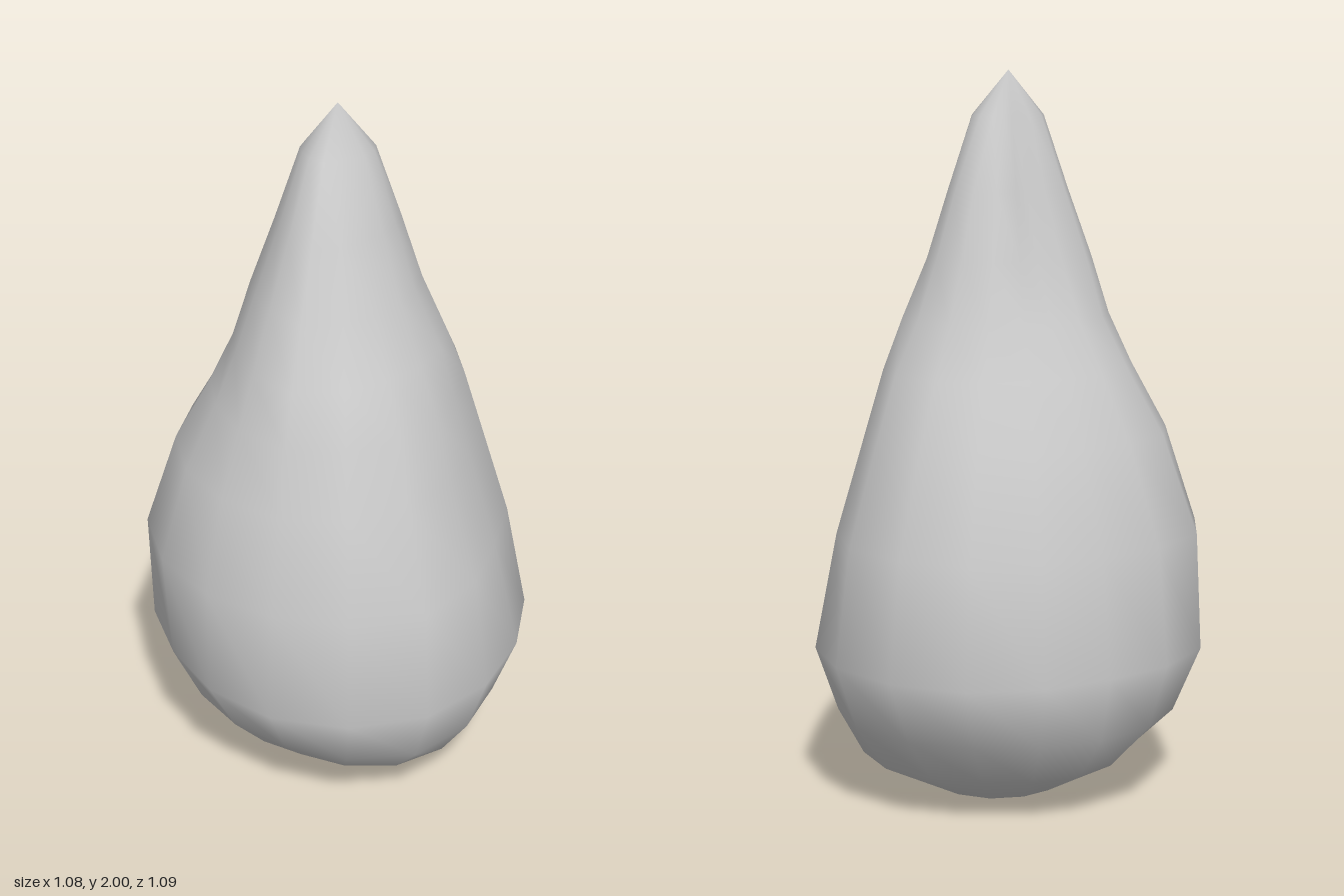
import * as THREE from 'three';

// Height, then radii every 45 degrees: +x, +x+z, +z, -x+z, -x, -x-z, -z, +x-z
const RINGS = [
  [0.04, 0.23, 0.21, 0.15, 0.20, 0.15, 0.20, 0.24, 0.24],
  [0.12, 0.41, 0.38, 0.31, 0.33, 0.33, 0.35, 0.34, 0.40],
  [0.25, 0.47, 0.50, 0.44, 0.43, 0.465, 0.45, 0.45, 0.49],
  [0.43, 0.535, 0.565, 0.545, 0.51, 0.54, 0.49, 0.54, 0.55],
  [0.75, 0.46, 0.54, 0.52, 0.53, 0.525, 0.45, 0.49, 0.505],
  [1.02, 0.38, 0.43, 0.455, 0.45, 0.43, 0.36, 0.395, 0.42],
  [1.20, 0.33, 0.38, 0.405, 0.36, 0.33, 0.28, 0.31, 0.36],
  [1.34, 0.29, 0.30, 0.35, 0.30, 0.26, 0.21, 0.255, 0.29],
  [1.50, 0.215, 0.23, 0.28, 0.24, 0.215, 0.14, 0.20, 0.23],
  [1.68, 0.16, 0.16, 0.20, 0.17, 0.155, 0.09, 0.15, 0.17],
  [1.88, 0.10, 0.085, 0.11, 0.10, 0.09, 0.05, 0.055, 0.09],
];
const SIDES = 16;

// Radius at side s, smoothly blended between the eight given directions
function radiusAt(radii, s) {
  const i = Math.floor(s / 2);
  if (s % 2 === 0) return radii[i];
  const r = (k) => radii[(k + 8) % 8];
  return (9 * (r(i) + r(i + 1)) - r(i - 1) - r(i + 2)) / 16;
}

// Closed smooth skin through the rings, with a point at each end
function lumpyDropGeometry() {
  const positions = [0, 0, 0];
  for (const [y, ...radii] of RINGS) {
    for (let s = 0; s < SIDES; s++) {
      const a = (s / SIDES) * Math.PI * 2;
      const r = radiusAt(radii, s);
      positions.push(r * Math.cos(a), y, r * Math.sin(a));
    }
  }
  positions.push(0, 2, 0);

  const top = positions.length / 3 - 1;
  const at = (ring, s) => 1 + ring * SIDES + (s % SIDES);
  const last = RINGS.length - 1;
  const index = [];
  for (let s = 0; s < SIDES; s++) {
    index.push(0, at(0, s), at(0, s + 1));
    for (let k = 0; k < last; k++) {
      const a = at(k, s), b = at(k, s + 1), c = at(k + 1, s + 1), d = at(k + 1, s);
      index.push(a, d, c, a, c, b);
    }
    index.push(at(last, s), top, at(last, s + 1));
  }

  const geometry = new THREE.BufferGeometry();
  geometry.setAttribute('position', new THREE.Float32BufferAttribute(positions, 3));
  geometry.setIndex(index);
  geometry.computeVertexNormals();
  return geometry;
}

export function createModel() {
  const stone = new THREE.MeshStandardMaterial({ color: 0xcccccc });
  stone.name = 'pale grey stone';

  const body = new THREE.Mesh(lumpyDropGeometry(), stone);
  body.name = 'stoneSpike';

  const model = new THREE.Group();
  model.name = 'pointedStone';
  model.add(body);
  return model;
}
